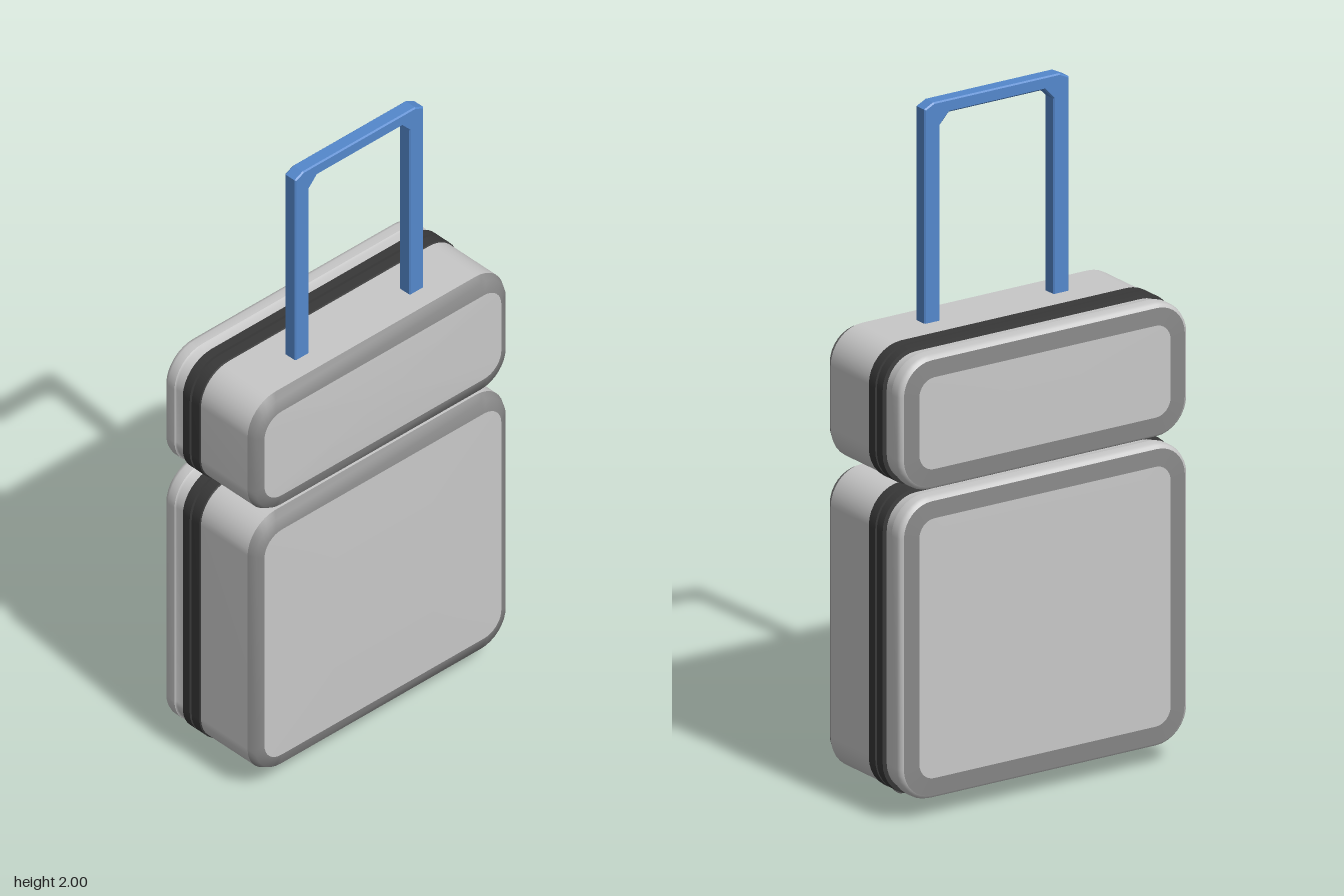
import * as THREE from 'three';
import { mergeVertices } from 'three/addons/utils/BufferGeometryUtils.js';

function material(name, color) {
  const m = new THREE.MeshStandardMaterial({ color });
  m.name = name;
  return m;
}

// Rounded rectangle, counter-clockwise seen from the front
function outline(w, h, r, z) {
  const pts = [], steps = 8;
  const rad = Math.max(r, 0);
  [[1, 1], [-1, 1], [-1, -1], [1, -1]].forEach(([sx, sy], q) => {
    for (let i = 0; i <= steps; i++) {
      const a = (q + i / steps) * Math.PI / 2;
      pts.push([sx * (w - rad) + rad * Math.cos(a), sy * (h - rad) + rad * Math.sin(a), z]);
    }
  });
  return pts;
}

// Skin between outlines ordered front to back along the outside
function loft(rings) {
  const n = rings[0].length, index = [];
  for (let k = 0; k < rings.length - 1; k++) {
    for (let j = 0; j < n; j++) {
      const a = k * n + j, b = k * n + (j + 1) % n;
      index.push(a, a + n, b, b, a + n, b + n);
    }
  }
  const g = new THREE.BufferGeometry();
  g.setAttribute('position', new THREE.Float32BufferAttribute(rings.flat(2), 3));
  g.setIndex(index);
  const merged = mergeVertices(g);
  merged.computeVertexNormals();
  return merged;
}

export function createModel() {
  const shell = material('light grey shell', 0xc8c8c8);
  const trim = material('grey trim', 0x888888);
  const black = material('black zip', 0x383838);
  const blue = material('blue handle', 0x5488cc);
  const model = new THREE.Group();
  model.name = 'suitcase';

  function add(parent, name, geometry, mat) {
    const mesh = new THREE.Mesh(geometry, mat);
    mesh.name = name;
    parent.add(mesh);
    return mesh;
  }

  // One case: dished panels, trim frames, shell sides and a zip band
  function addCase(name, y0, y1) {
    const g = new THREE.Group();
    g.name = name;
    g.position.y = (y0 + y1) / 2;
    const W = 0.484, H = (y1 - y0) / 2, R = 0.105;
    const at = (z, inset = 0) => outline(W - inset, H - inset, R - inset, z);
    const frontEdge = outline(W - 0.036, H - 0.05, 0.065, 0.183);
    const backEdge = outline(W - 0.062, H - 0.062, 0.05, -0.187);
    const centre = z => outline(0, 0, 0, z);

    add(g, 'frontPanel', loft([centre(0.189), frontEdge]), shell);
    add(g, 'frontFrame', loft([frontEdge, at(0.175, 0.012), at(0.153)]), trim);
    add(g, 'frontShell', loft([at(0.153), at(-0.035)]), shell);

    // Zip band: two raised tapes with a groove between them
    const band = [[-0.035, 0], [-0.037, -0.004], [-0.068, -0.004], [-0.069, 0.004],
      [-0.075, 0.004], [-0.076, -0.004], [-0.104, -0.004], [-0.106, 0.008]];
    for (let i = 0; i < band.length - 1; i++) {
      add(g, 'zipBand', loft([at(...band[i]), at(...band[i + 1])]), black);
    }

    add(g, 'backRecess', loft([at(-0.106, 0.008), at(-0.138, 0.006), at(-0.142, 0)]), shell);
    add(g, 'backShell', loft([at(-0.142), at(-0.168), at(-0.179, 0.004), at(-0.184, 0.012)]), shell);
    add(g, 'backFrame', loft([at(-0.184, 0.012), backEdge]), trim);
    add(g, 'backPanel', loft([backEdge, centre(-0.188)]), shell);
    model.add(g);
  }
  addCase('lowerCase', 0.06, 0.945);
  addCase('upperCase', 0.965, 1.358);

  // Pull handle: one bent frame with cut corners
  const b = 0.004;
  const path = [[-0.243, 1.33], [-0.19, 1.33], [-0.19, 1.93], [-0.16, 1.962], [0.16, 1.962],
    [0.19, 1.93], [0.19, 1.33], [0.243, 1.33], [0.243, 1.985], [0.212, 2], [-0.212, 2], [-0.243, 1.985]];
  const handle = new THREE.ExtrudeGeometry(
    new THREE.Shape(path.map(p => new THREE.Vector2(...p))),
    { depth: 0.044 - 2 * b, bevelEnabled: true, bevelThickness: b, bevelSize: b, bevelOffset: -b, bevelSegments: 1 });
  handle.translate(0, 0, 0.045 + b);
  add(model, 'pullHandle', handle, blue);

  // Wheels: black tread with grey sides
  for (const side of [-1, 1]) {
    const wheel = new THREE.CylinderGeometry(0.057, 0.057, 0.024, 32);
    wheel.rotateZ(Math.PI / 2);
    const mesh = add(model, side > 0 ? 'leftWheel' : 'rightWheel', wheel, [black, trim, trim]);
    mesh.position.set(side * 0.316, 0.057, 0.055);
  }
  return model;
}
